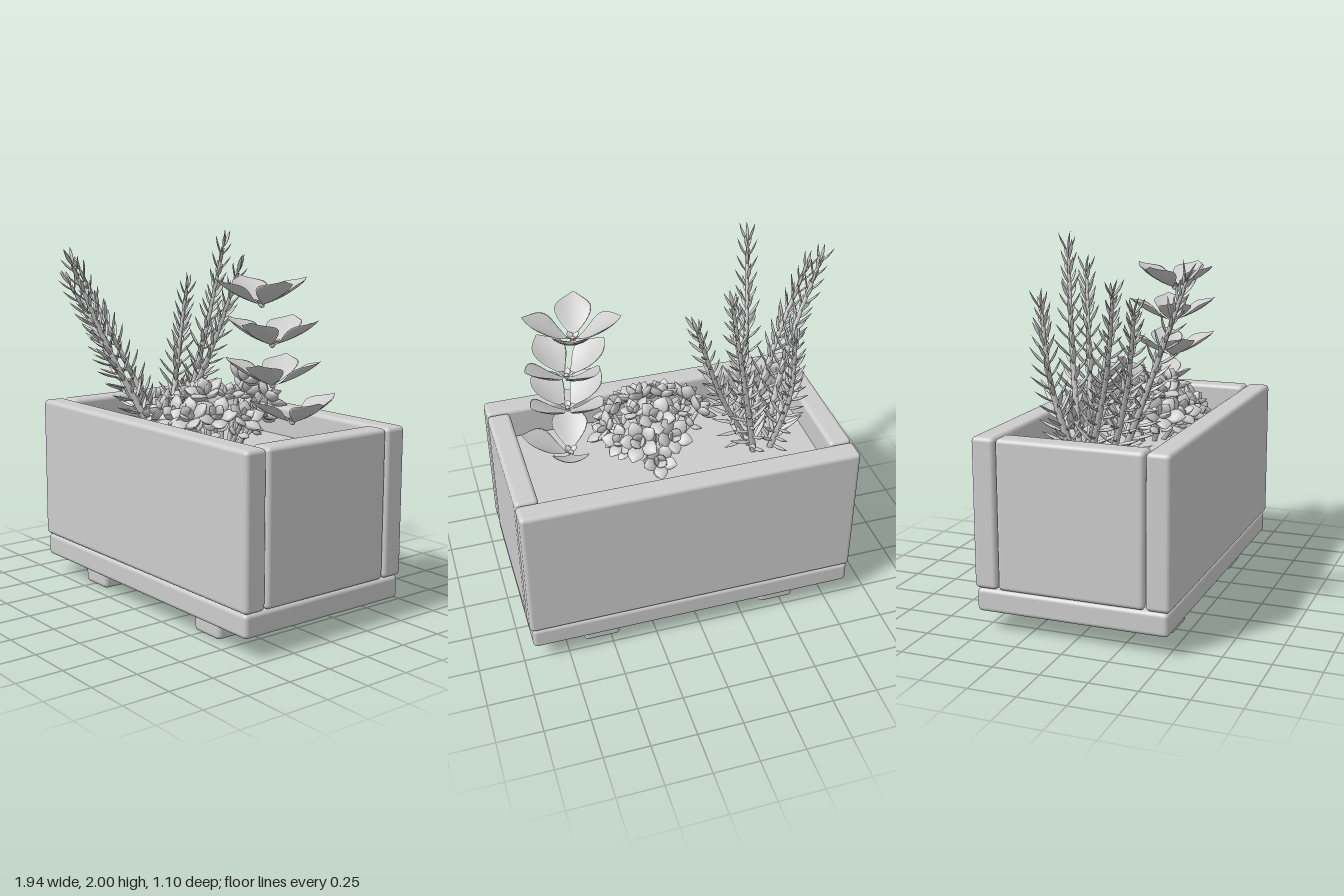
import * as THREE from 'three';
import { mergeGeometries } from 'three/addons/utils/BufferGeometryUtils.js';
import { RoundedBoxGeometry } from 'three/addons/geometries/RoundedBoxGeometry.js';

const V = (x, y, z) => new THREE.Vector3(x, y, z);
const UP = V(0, 1, 0);

// small seeded random, 0..1
function seeded(seed) {
  return () => (seed = (seed * 16807) % 2147483647) / 2147483647;
}

// pointed leaf growing along +y from the origin, cupped and bent towards +z
function leafGeometry(length, width, thick, cup, bend, sides, rows, peak) {
  const g = new THREE.SphereGeometry(1, sides, rows);
  const p = g.attributes.position;
  for (let i = 0; i < p.count; i++) {
    const r = Math.hypot(p.getX(i), p.getZ(i)) || 1;
    const cx = p.getX(i) / r, cz = p.getZ(i) / r;
    const t = Math.acos(THREE.MathUtils.clamp(-p.getY(i), -1, 1)) / Math.PI;
    const w = Math.sin(Math.PI * Math.pow(t, peak));
    const x = cx * w;
    p.setXYZ(i, x * width / 2, t * length, cz * w * thick / 2 + cup * x * x + bend * t * t);
  }
  g.computeVertexNormals();
  return g;
}

// copy of a leaf at a point, pointing along dir, inner face towards "face"
function place(leaf, pos, dir, face, scale = 1) {
  const y = dir.clone().normalize();
  const x = y.clone().cross(face).normalize();
  const z = x.clone().cross(y);
  const m = new THREE.Matrix4().makeBasis(x, y, z).scale(V(scale, scale, scale)).setPosition(pos);
  return leaf.clone().applyMatrix4(m);
}

// tapered tube along a curve
function taperedStem(curve, r0, r1, rows = 16) {
  const g = new THREE.TubeGeometry(curve, rows, 1, 6);
  const p = g.attributes.position;
  const v = V(0, 0, 0);
  for (let i = 0; i < p.count; i++) {
    const t = Math.floor(i / 7) / rows;
    const c = curve.getPointAt(t);
    v.fromBufferAttribute(p, i).sub(c).multiplyScalar(r0 + (r1 - r0) * t).add(c);
    p.setXYZ(i, v.x, v.y, v.z);
  }
  return g;
}

export function createModel() {
  const model = new THREE.Group();
  const clay = new THREE.MeshStandardMaterial({ color: 0xcccccc, side: THREE.DoubleSide });
  clay.name = 'plain grey';

  const add = (name, geometry) => {
    const mesh = new THREE.Mesh(geometry, clay);
    mesh.name = name;
    model.add(mesh);
  };
  // rounded board given by its limits
  const board = (name, x0, x1, y0, y1, z0, z1, r = 0.024) => {
    const g = new RoundedBoxGeometry(x1 - x0, y1 - y0, z1 - z0, 3, r);
    add(name, g.translate((x0 + x1) / 2, (y0 + y1) / 2, (z0 + z1) / 2));
  };

  // planter box
  board('frontBoard', -0.88, 0.957, 0.235, 1.03, 0.392, 0.52);
  board('backBoard', -0.88, 0.957, 0.235, 1.03, -0.535, -0.408);
  board('rightBoard', -0.88, -0.755, 0.235, 1.03, -0.403, 0.387);
  board('leftBoard', 0.832, 0.957, 0.235, 1.03, -0.403, 0.387);
  board('base', -0.873, 0.945, 0.108, 0.234, -0.527, 0.51);
  for (const x of [-0.475, 0.55]) board('foot', x - 0.102, x + 0.102, 0.003, 0.108, -0.46, 0.44);
  board('soil', -0.77, 0.81, 0.3, 0.87, -0.41, 0.37, 0.005);

  // needle-leaved sprigs: base, middle and tip of each stem
  const sprigs = [
    [[-0.40, 0.86, 0.09], [-0.52, 1.36, 0.31], [-0.575, 1.81, 0.49]],
    [[-0.52, 0.86, -0.04], [-0.71, 1.36, 0.13], [-0.90, 1.76, 0.24]],
    [[-0.47, 0.86, 0.06], [-0.66, 1.30, 0.22], [-0.86, 1.68, 0.33]],
    [[-0.52, 0.86, -0.13], [-0.58, 1.28, -0.23], [-0.565, 1.64, -0.28]],
    [[-0.42, 0.86, -0.14], [-0.32, 1.38, -0.22], [-0.22, 1.90, -0.28]],
    [[-0.42, 0.86, -0.08], [-0.21, 1.30, -0.17], [-0.05, 1.77, -0.25]],
  ];
  const needle = leafGeometry(0.135, 0.024, 0.014, 0, 0.02, 6, 6, 0.9);
  sprigs.forEach((points, s) => {
    const rnd = seeded(101 + s * 77);
    const curve = new THREE.CatmullRomCurve3(points.map((p) => V(...p)));
    const parts = [taperedStem(curve, 0.02, 0.009)];
    const pairs = 25;
    for (let i = 1; i <= pairs; i++) {
      const t = i / pairs;
      const pos = curve.getPointAt(t), tan = curve.getTangentAt(t);
      const side = tan.clone().cross(V(0.3, 0, 1)).normalize();
      const lean = 1.15 - 0.55 * t;
      for (let k = 0; k < 2; k++) {
        const a = i * 1.45 + k * Math.PI + rnd() * 0.5;
        const out = side.clone().applyAxisAngle(tan, a);
        const dir = tan.clone().multiplyScalar(Math.cos(lean)).addScaledVector(out, Math.sin(lean));
        parts.push(place(needle, pos, dir, tan, 1.1 - 0.45 * t + rnd() * 0.2));
      }
    }
    parts.push(place(needle, curve.getPointAt(1), curve.getTangentAt(1), V(0, 0, 1), 0.8));
    add('needleSprig', mergeGeometries(parts));
  });

  // tall plant: tiers of cupped leaves, [x, y, z, turn, leaves]
  const tiers = [
    [0.515, 1.65, 0.06, 0.26, 4],
    [0.565, 1.45, 0.03, 1.15, 4],
    [0.57, 1.245, 0.03, 1.0, 4],
    [0.59, 1.045, -0.09, 0.2, 3],
  ];
  const cupLeaf = leafGeometry(0.275, 0.19, 0.016, 0.03, 0.035, 14, 12, 1.25);
  for (const [x, y, z, turn, leaves] of tiers) {
    const parts = [new THREE.SphereGeometry(0.016, 8, 6).translate(x, y, z)];
    for (let k = -1; k < leaves - 1; k++) {
      const a = turn + k * Math.PI / 2;
      const out = V(Math.cos(a), 0, Math.sin(a));
      const pos = V(x, y, z).addScaledVector(out, 0.01);
      parts.push(place(cupLeaf, pos, out.clone().setY(0.4), UP));
      // small bud leaves between the large ones
      const mid = V(Math.cos(a + 0.8), 0.5, Math.sin(a + 0.8));
      parts.push(place(cupLeaf, V(x, y, z), mid, UP, 0.18));
    }
    add('cupLeafTier', mergeGeometries(parts));
  }

  // low succulent: rosettes on short leafy stems, [x, y, z, size]
  const rosettes = [
    [-0.17, 1.02, 0.10, 0.9], [-0.13, 1.04, 0.21, 1], [-0.03, 1.04, 0.28, 0.95],
    [0.09, 1.03, 0.28, 1], [0.20, 1.04, 0.27, 1], [0.29, 1.05, 0.17, 1],
    [0.03, 1.13, 0.15, 0.95], [0.16, 1.15, 0.14, 1], [-0.02, 1.10, 0.03, 0.75],
    [0.20, 1.14, 0.03, 0.8], [0.36, 1.04, 0.05, 0.9],
    [0.07, 1.12, -0.21, 0.9], [0.14, 1.20, -0.13, 0.95], [0.24, 1.12, -0.2, 1],
    [0.31, 1.06, -0.10, 0.9], [0.15, 1.0, -0.24, 0.85],
  ];
  const fatLeaf = leafGeometry(0.125, 0.085, 0.042, 0.008, 0.022, 8, 8, 1.2);
  const root = V(0.11, 1.0, 0.04);
  const rnd = seeded(4242);
  for (const [x, y, z, size] of rosettes) {
    const pos = V(x, y, z);
    const axis = pos.clone().sub(root).multiplyScalar(1.1).setY(0.26).normalize();
    const side = axis.clone().cross(V(0, 0, 1)).normalize();
    const foot = root.clone().lerp(pos, 0.5).setY(0.86);
    const mid = foot.clone().lerp(pos, 0.6).setY(y - 0.08);
    const parts = [taperedStem(new THREE.CatmullRomCurve3([foot, mid, pos]), 0.014, 0.011, 8)];
    // outer ring, inner ring and a looser ring lower on the stem
    for (const [at, count, lean, scale] of [[pos, 5, 1.25, 1], [pos, 3, 0.6, 0.75], [mid, 3, 1.2, 0.7]]) {
      const turn = rnd() * 6;
      for (let k = 0; k < count; k++) {
        const out = side.clone().applyAxisAngle(axis, turn + k * 2 * Math.PI / count);
        const dir = axis.clone().multiplyScalar(Math.cos(lean)).addScaledVector(out, Math.sin(lean));
        parts.push(place(fatLeaf, at, dir, axis, size * scale * (0.9 + rnd() * 0.2)));
      }
    }
    add('succulentRosette', mergeGeometries(parts));
  }
  return model;
}
